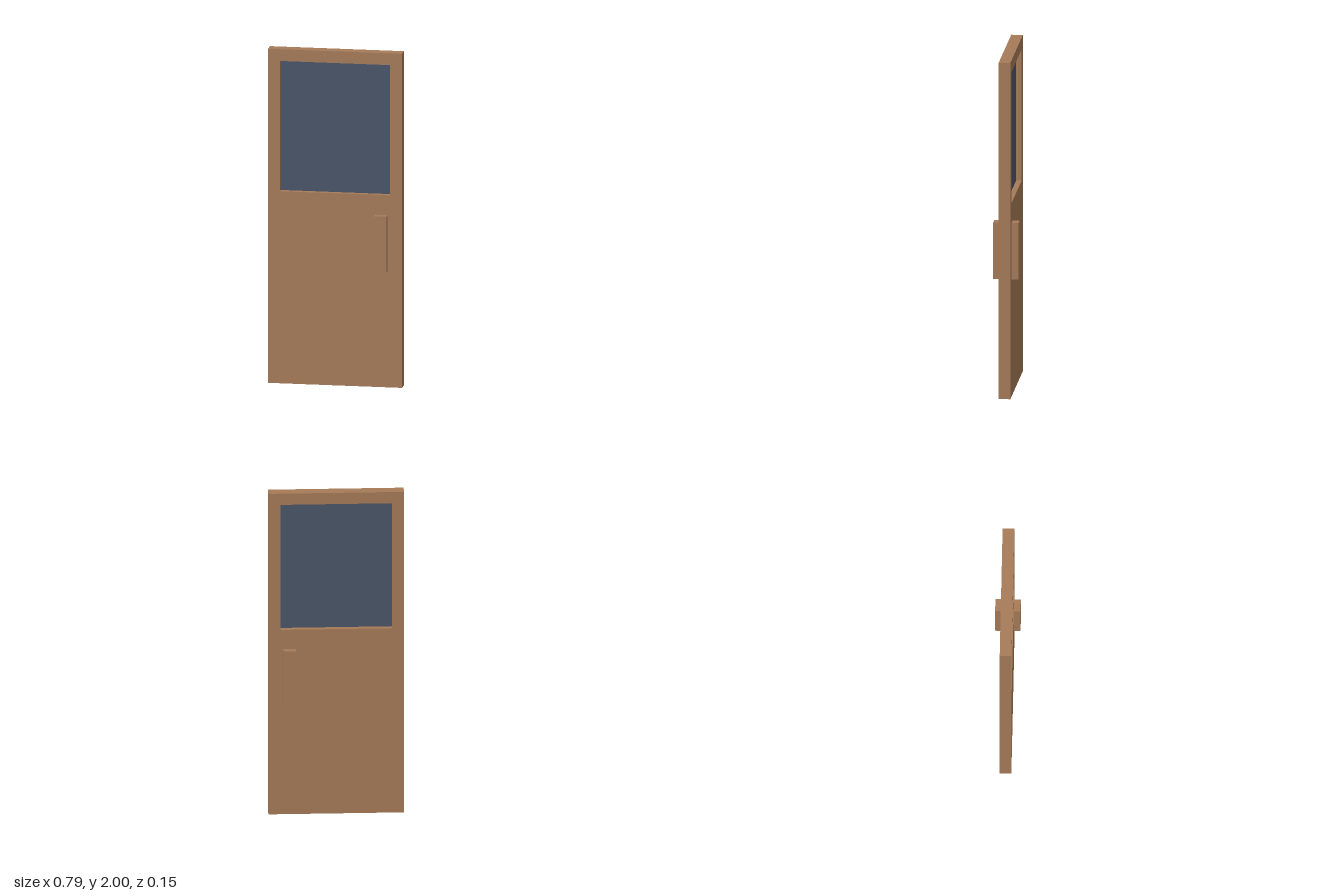
import * as THREE from 'three';

export function createModel() {
  const model = new THREE.Group();
  model.name = 'door';

  const wood = new THREE.MeshStandardMaterial({ color: 0xa67b58 });
  wood.name = 'brown wood';
  const glass = new THREE.MeshStandardMaterial({ color: 0x4a5568 });
  glass.name = 'dark glass';

  const W = 0.79, H = 2, T = 0.068;
  const win = { x: 0.325, y0: 1.15, y1: 1.93 };

  function add(name, geometry, material, x, y, z) {
    const mesh = new THREE.Mesh(geometry, material);
    mesh.name = name;
    mesh.position.set(x, y, z);
    model.add(mesh);
  }

  // Door leaf with a window opening
  const leaf = new THREE.Shape([
    new THREE.Vector2(-W / 2, 0), new THREE.Vector2(W / 2, 0),
    new THREE.Vector2(W / 2, H), new THREE.Vector2(-W / 2, H),
  ]);
  leaf.holes.push(new THREE.Path([
    new THREE.Vector2(-win.x, win.y0), new THREE.Vector2(-win.x, win.y1),
    new THREE.Vector2(win.x, win.y1), new THREE.Vector2(win.x, win.y0),
  ]));
  add('doorLeaf', new THREE.ExtrudeGeometry(leaf, { depth: T, bevelEnabled: false }), wood, 0, 0, -T / 2);

  // Thin pane in the middle of the opening
  add('windowPane', new THREE.BoxGeometry(win.x * 2, win.y1 - win.y0, 0.004), glass,
    0, (win.y0 + win.y1) / 2, 0);

  // Block handles on both faces
  const depth = 0.04;
  for (const [name, side] of [['frontHandle', 1], ['backHandle', -1]]) {
    add(name, new THREE.BoxGeometry(0.074, 0.336, depth), wood, 0.272, 0.863, side * (T / 2 + depth / 2));
  }

  return model;
}
